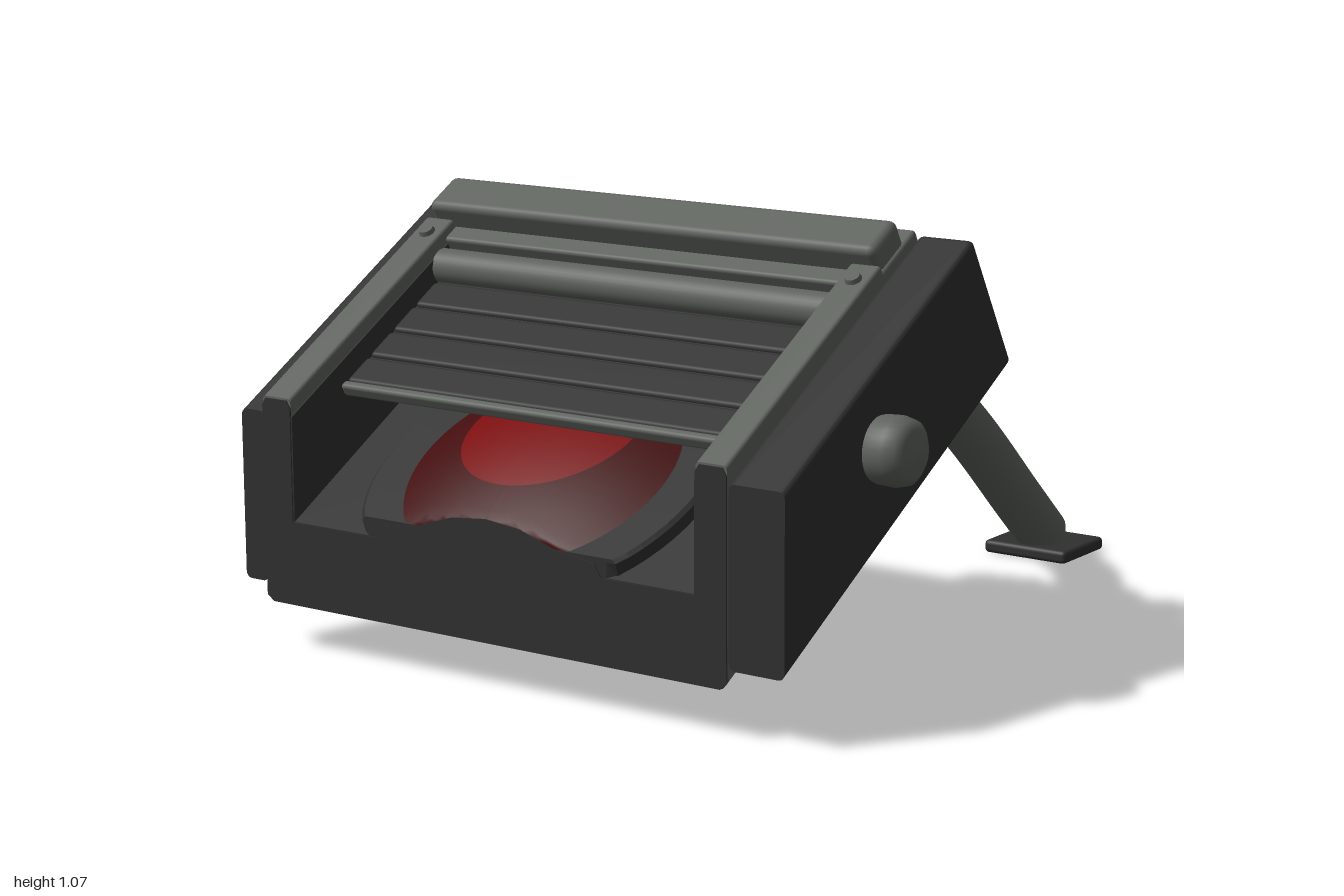
import * as THREE from 'three';
import { RoundedBoxGeometry } from 'three/addons/geometries/RoundedBoxGeometry.js';

const TILT = Math.PI / 6;
const FRONT = 0.997; // vertical plane where the tilted housing is cut off
const CX = -0.04;    // middle of the housing

function material(name, color, side = THREE.FrontSide) {
  const m = new THREE.MeshStandardMaterial({ color, side });
  m.name = name;
  return m;
}

// Flatten everything beyond the front plane onto it (housing coordinates: y = height, z = down the slope)
function cutFront(geo) {
  const p = geo.attributes.position;
  for (let i = 0; i < p.count; i++) {
    const limit = (FRONT - Math.sin(TILT) * p.getY(i)) / Math.cos(TILT);
    if (p.getZ(i) > limit) p.setZ(i, limit);
  }
  geo.computeVertexNormals();
  return geo;
}

export function createModel() {
  const model = new THREE.Group();
  const dark = material('dark grey', 0x303030);
  const grey = material('warm grey', 0x5f635e);
  const deepRed = material('deep red', 0x430c0d);
  const red = material('red', 0x7a0c0e);

  const housing = new THREE.Group();
  housing.name = 'housing';
  housing.rotation.x = TILT;
  model.add(housing);

  function add(parent, name, geo, mat, x = 0, y = 0, z = 0) {
    const mesh = new THREE.Mesh(geo, mat);
    mesh.name = name;
    mesh.position.set(x, y, z);
    parent.add(mesh);
    return mesh;
  }

  // Rounded block in the housing: x range, height range, range up the slope (s0 = -1.2 runs to the cut)
  function block(name, mat, x0, x1, t0, t1, s0, s1, r = 0.01) {
    const geo = new RoundedBoxGeometry(x1 - x0, t1 - t0, s1 - s0, 2, r);
    geo.translate((x0 + x1) / 2, (t0 + t1) / 2, -(s0 + s1) / 2);
    return add(housing, name, s0 < -1 ? cutFront(geo) : geo, mat);
  }

  // Shell
  block('bottomPlate', dark, -0.71, 0.63, 0.6, 0.63, -1.2, 0.325, 0.005);
  block('cavityFloor', dark, -0.66, 0.58, 0.615, 0.777, -1.2, 0.2, 0.005);
  block('backWall', grey, -0.715, 0.635, 0.605, 1.015, 0.11, 0.33);
  block('headerBar', grey, -0.7, 0.628, 0.98, 1.08, 0.16, 0.285, 0.02);
  for (const [side, x0, x1, liner] of [['right', -0.72, -0.632, -0.634], ['left', 0.554, 0.638, 0.55]]) {
    block(side + 'Wall', grey, x0, x1, 0.605, 0.95, -1.2, 0.327);
    block(side + 'Rail', grey, x0, x1, 0.9, 1.037, -1.2, 0.165);
    block(side + 'Liner', dark, liner, liner + 0.006, 0.76, 1.0, -1.2, 0.11, 0.002);
    const screw = new THREE.CylinderGeometry(0.018, 0.022, 0.014, 20);
    add(housing, side + 'RailScrew', screw, grey, (x0 + x1) / 2, 1.041, -0.103);
  }
  block('rightSidePlate', dark, -0.79, -0.718, 0.638, 1.003, -1.2, 0.33, 0.015);
  block('leftSidePlate', dark, 0.642, 0.79, 0.638, 1.003, -1.2, 0.33, 0.015);

  // Lens ring and shallow domed lens
  const lensZ = 0.43;
  const v = (x, y) => new THREE.Vector2(x, y);
  const ring = new THREE.LatheGeometry([v(0.455, 0.77), v(0.455, 0.808), v(0.445, 0.816), v(0.34, 0.816)], 72);
  ring.translate(CX, 0, lensZ);
  add(housing, 'lensRing', cutFront(ring.toNonIndexed()), dark);
  const R = 1.03, top = 0.876;
  const profile = [];
  for (let i = 0; i <= 12; i++) {
    const r = 0.347 * (1 - i / 12);
    profile.push(v(r, top - R + Math.sqrt(R * R - r * r)));
  }
  const dome = new THREE.LatheGeometry(profile, 72);
  dome.translate(CX, 0, lensZ);
  add(housing, 'lens', cutFront(dome), deepRed);
  const glow = new THREE.SphereGeometry(R + 0.002, 56, 8, 0, Math.PI * 2, 0, 0.225);
  glow.rotateX(-0.1).rotateZ(0.02);
  add(housing, 'lensCentre', glow, red, CX, top - R, lensZ);

  // Roller shutter
  for (let i = 0; i < 4; i++) {
    const s = -0.375 + i * 0.1;
    block('shutterSlat', dark, -0.63, 0.552, 0.925, 0.952, s, s + 0.094, 0.012);
    block('slatHinge', dark, -0.63, 0.552, 0.928, 0.942, s + 0.08, s + 0.114, 0.004);
  }
  block('shutterLip', grey, -0.63, 0.552, 0.92, 0.955, -0.4, -0.375, 0.01);
  const roller = new THREE.CylinderGeometry(0.045, 0.045, 1.182, 32);
  roller.rotateZ(Math.PI / 2);
  add(housing, 'shutterRoller', roller, grey, -0.039, 0.962, -0.067);

  // Dark closing plate on the cut front, stepping over the ring and lens
  const face = new THREE.Shape();
  const bump = [[-0.335, 0.32], [-0.315, 0.35], [-0.24, 0.363], [-0.2, 0.367], [-0.1, 0.4], [0, 0.41]];
  const mirrored = bump.slice(0, -1).reverse().map(([x, y]) => [-x, y]);
  face.setFromPoints([
    v(-0.72, 0.13), v(-0.7, 0.115), v(0.62, 0.115), v(0.638, 0.13), v(0.638, 0.6), v(0.628, 0.617),
    v(0.565, 0.617), v(0.554, 0.6), v(0.554, 0.32),
    ...[...bump, ...mirrored].reverse().map(([x, y]) => v(x + CX, y)),
    v(-0.632, 0.32), v(-0.632, 0.6), v(-0.643, 0.617), v(-0.71, 0.617), v(-0.72, 0.6),
  ]);
  const faceGeo = new THREE.ExtrudeGeometry(face, { depth: 0.004, bevelEnabled: false });
  add(model, 'frontFace', faceGeo, dark, 0, 0, 0.996);

  // Side knobs
  for (const side of [-1, 1]) {
    const knob = new THREE.LatheGeometry(
      [v(0.07, -0.02), v(0.08, 0.01), v(0.082, 0.05), v(0.075, 0.08), v(0.055, 0.094), v(0, 0.1)], 32);
    knob.rotateZ(-side * Math.PI / 2);
    add(model, side < 0 ? 'rightKnob' : 'leftKnob', knob, grey, side * 0.79, 0.61, 0.615);
  }

  // Rear bracket with screws
  block('rearBracket', dark, -0.05, 0.52, 0.655, 0.935, 0.32, 0.43, 0.018);
  for (const x of [0.027, 0.44]) {
    const head = new THREE.SphereGeometry(0.03, 20, 12);
    head.scale(1, 1, 0.7);
    add(housing, 'bracketScrew', head, grey, x, 0.85, -0.43);
  }

  // Bent support leg with collar and foot
  const legX = 0.365;
  const path = new THREE.CatmullRomCurve3([[0.79, 0.03], [0.705, -0.07], [0.43, -0.455], [0.17, -0.75], [0.055, -0.88]]
    .map(([y, z]) => new THREE.Vector3(legX, y, z)));
  add(model, 'supportLeg', new THREE.TubeGeometry(path, 32, 0.069, 28), grey);
  const end = add(model, 'legEnd', new THREE.CircleGeometry(0.069, 28), grey);
  end.position.copy(path.getPoint(1));
  end.lookAt(path.getPoint(1).add(path.getTangent(1)));
  const collar = new THREE.CylinderGeometry(0.086, 0.086, 0.07, 32);
  const collarMesh = add(model, 'legCollar', collar, grey, legX, 0.735, -0.05);
  collarMesh.quaternion.setFromUnitVectors(new THREE.Vector3(0, 1, 0), new THREE.Vector3(0, 0.62, 0.78).normalize());
  add(model, 'foot', new RoundedBoxGeometry(0.25, 0.035, 0.215, 3, 0.012), dark, legX, 0.0175, -0.8925);

  return model;
}
